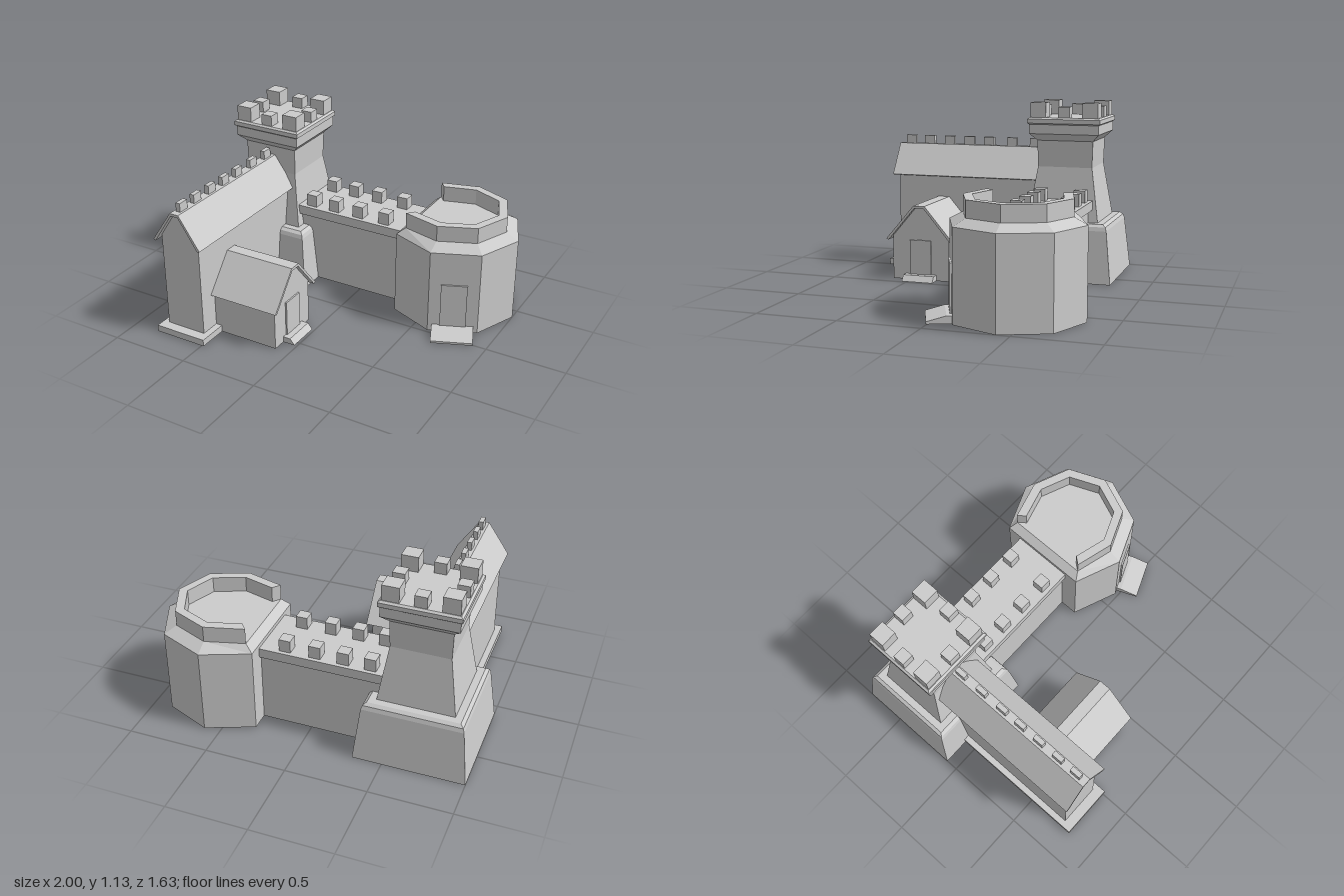
import * as THREE from 'three';

const material = new THREE.MeshStandardMaterial({ color: 0xcccccc, flatShading: true });

export function createModel() {
  const model = new THREE.Group();

  const add = (name, geometry, parent = model) => {
    const mesh = new THREE.Mesh(geometry, material);
    mesh.name = name;
    parent.add(mesh);
    return mesh;
  };

  // Box given by its limits on each axis
  const box = (name, x0, x1, y0, y1, z0, z1, parent) =>
    add(name, new THREE.BoxGeometry(x1 - x0, y1 - y0, z1 - z0), parent)
      .position.set((x0 + x1) / 2, (y0 + y1) / 2, (z0 + z1) / 2);

  // Outline extruded along z from z0 to z1
  const prism = (points, z0, z1) => {
    const shape = new THREE.Shape(points.map(([x, y]) => new THREE.Vector2(x, y)));
    return new THREE.ExtrudeGeometry(shape, { depth: z1 - z0, bevelEnabled: false }).translate(0, 0, z0);
  };

  // Closed convex solid through horizontal rings of [x, z] points
  const loft = (rings) => {
    const pos = [];
    const v = ({ y, pts }, i) => {
      const [x, z] = pts[i % pts.length];
      return [x, y, z];
    };
    for (let k = 0; k < rings.length - 1; k++) {
      const lo = rings[k], hi = rings[k + 1];
      for (let i = 0; i < lo.pts.length; i++) {
        pos.push(...v(lo, i), ...v(hi, i), ...v(hi, i + 1), ...v(lo, i), ...v(hi, i + 1), ...v(lo, i + 1));
      }
    }
    const bottom = rings[0], top = rings[rings.length - 1];
    for (let i = 1; i < bottom.pts.length - 1; i++) {
      pos.push(...v(bottom, 0), ...v(bottom, i), ...v(bottom, i + 1));
      pos.push(...v(top, 0), ...v(top, i + 1), ...v(top, i));
    }
    const g = new THREE.BufferGeometry();
    g.setAttribute('position', new THREE.Float32BufferAttribute(pos, 3));
    g.computeVertexNormals();
    return g;
  };

  // Square tower: flared base, tapering shaft, corbelled platform
  const tower = new THREE.Group();
  tower.name = 'squareTower';
  tower.position.set(-0.66, 0, -0.417);
  model.add(tower);
  const profile = [
    [0, 0], [0.34, 0], [0.303, 0.335], [0.295, 0.36], [0.275, 0.375], [0.232, 0.375],
    [0.178, 0.72], [0.183, 0.89], [0.227, 0.935], [0.227, 0.995], [0.238, 1.003],
    [0.238, 1.03], [0.225, 1.04], [0, 1.04],
  ].map(([r, y]) => new THREE.Vector2(r * Math.SQRT2, y));
  add('towerBody', new THREE.LatheGeometry(profile, 4).rotateY(Math.PI / 4), tower);
  for (let i = -1; i <= 1; i++) {
    for (let j = -1; j <= 1; j++) {
      if (i === 0 && j === 0) continue;
      const corner = i !== 0 && j !== 0;
      const h = corner ? 0.051 : 0.037;
      const d = corner ? 0.17 : 0.184;
      box(corner ? 'cornerMerlon' : 'sideMerlon', i * d - h, i * d + h, 1.03, corner ? 1.135 : 1.11,
        j * d - h, j * d + h, tower);
    }
  }

  // Curtain wall with overhanging walkway and two rows of merlons
  box('curtainWall', -0.6, 0.4, 0, 0.455, -0.585, -0.25);
  box('wallWalk', -0.6, 0.36, 0.455, 0.515, -0.61, -0.227);
  for (const x of [-0.365, -0.2, -0.025, 0.16]) {
    for (const z of [-0.55, -0.29]) {
      box('wallMerlon', x - 0.036, x + 0.036, 0.51, 0.593, z - 0.036, z + 0.036);
    }
  }

  // Eight-sided keep with one corner cut flat where the wall meets it
  const keep = new THREE.Group();
  keep.name = 'keep';
  keep.position.set(0.6, 0, -0.42);
  model.add(keep);
  const ring = (r, cutX, cutZ) => {
    const d = r * Math.SQRT1_2;
    return [[cutX, -cutZ], [0, -r], [d, -d], [r, 0], [d, d], [0, r], [cutX, cutZ]];
  };
  const body = ring(0.4, -0.287, 0.283);
  const outer = ring(0.32, -0.238, 0.255);
  const inner = ring(0.263, -0.2, 0.208);
  add('keepBody', loft([{ y: 0, pts: body }, { y: 0.54, pts: body }, { y: 0.582, pts: outer }]), keep);
  // Parapet is open towards the wall
  add('keepParapet', prism([...outer, ...inner.reverse()], 0.578, 0.682).rotateX(-Math.PI / 2), keep);

  // Keep door and ramp, on the face turned to the front
  const entrance = new THREE.Group();
  entrance.name = 'keepEntrance';
  entrance.rotation.y = -Math.PI * 3 / 8;
  keep.add(entrance);
  box('keepDoor', 0.34, 0.38, 0.03, 0.328, -0.08, 0.08, entrance);
  add('keepRamp', prism([[0.34, 0], [0.513, 0], [0.513, 0.014], [0.4, 0.045], [0.34, 0.045]], -0.128, 0.128), entrance);

  // Gabled building outlines, centred on the ridge
  const gable = (w, eave, flat, top) =>
    [[-w, 0], [w, 0], [w, eave], [flat, top], [-flat, top], [-w, eave]];
  const roof = (w, eave, flat, top, t) => [
    [w, eave], [flat, top], [-flat, top], [-w, eave],
    [-w + t, eave - t * 0.3], [-flat + t * 0.3, top - t], [flat - t * 0.3, top - t], [w - t, eave - t * 0.3],
  ];

  // Long hall running forward from the tower
  const hallX = -0.66;
  add('hallWalls', prism(gable(0.132, 0.66, 0.028, 0.815), -0.4, 0.75)).position.x = hallX;
  add('hallRoof', prism(roof(0.168, 0.628, 0.03, 0.83, 0.017), -0.3, 0.787)).position.x = hallX;
  box('hallPlinth', -0.83, -0.487, 0, 0.042, -0.3, 0.815);
  for (const z of [0.71, 0.576, 0.432, 0.29, 0.15, -0.01, -0.17]) {
    box('ridgeMerlon', hallX - 0.015, hallX + 0.015, 0.82, 0.885, z - 0.035, z + 0.035);
  }

  // Small side house facing right
  const houseZ = 0.432;
  const sideways = (points, x0, x1) => prism(points, x0, x1).rotateY(Math.PI / 2);
  add('houseWalls', sideways(gable(0.19, 0.3, 0.036, 0.47), -0.6, -0.096)).position.z = houseZ;
  add('houseRoof', sideways(roof(0.227, 0.263, 0.038, 0.485, 0.017), -0.56, -0.065)).position.z = houseZ;
  box('houseDoor', -0.12, -0.086, 0.02, 0.26, houseZ - 0.072, houseZ + 0.072);
  add('houseStep', prism([[-0.12, 0], [-0.018, 0], [-0.048, 0.037], [-0.12, 0.037]], 0.327, 0.535));

  return model;
}
